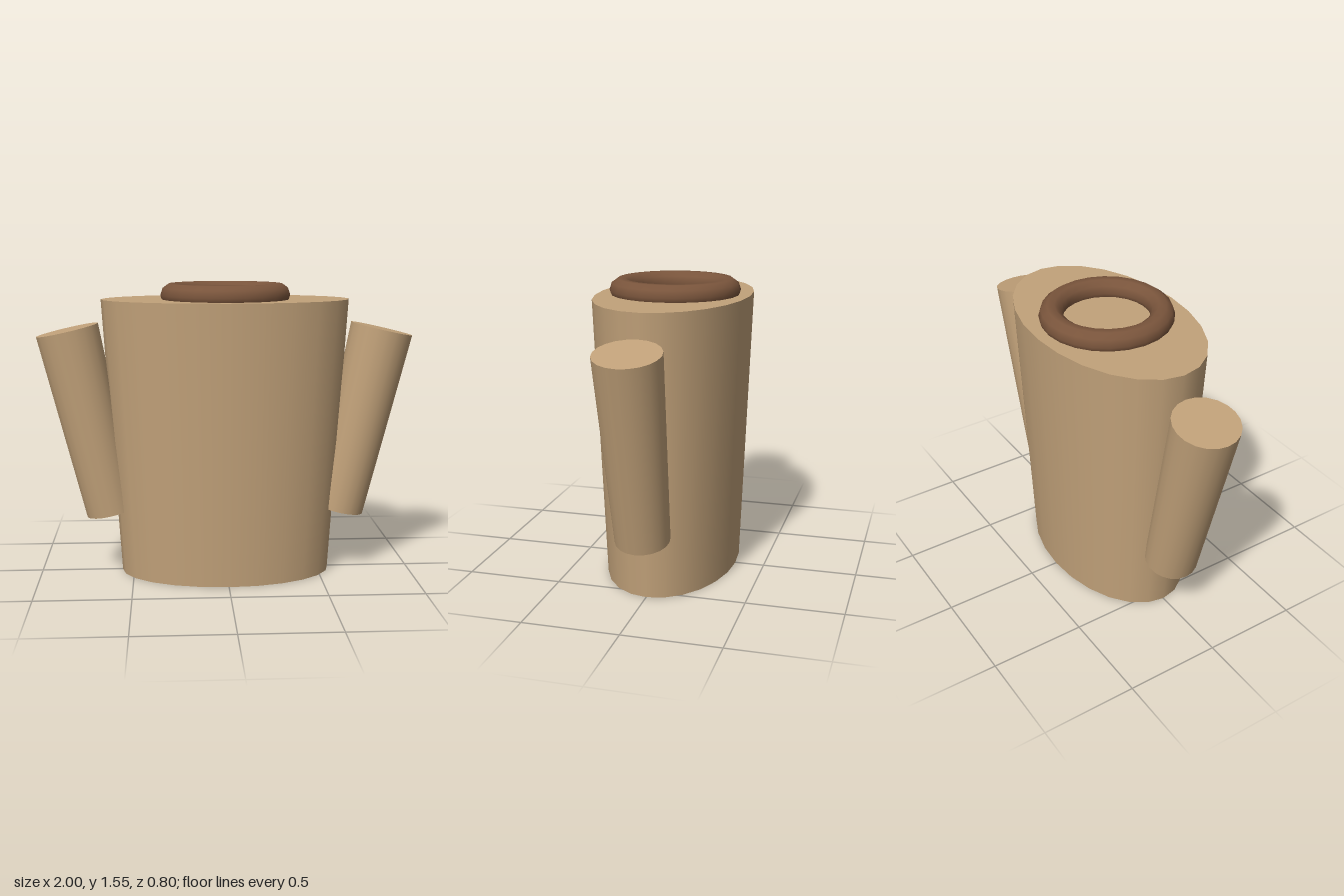
import * as THREE from 'three';

export function createModel() {
  const model = new THREE.Group();
  const cloth = new THREE.MeshStandardMaterial({ color: 0xc2a27a });
  cloth.name = 'tanCloth';
  const trim = new THREE.MeshStandardMaterial({ color: 0x7a553c });
  trim.name = 'brownTrim';

  const add = (name, geometry, material) => {
    const mesh = new THREE.Mesh(geometry, material);
    mesh.name = name;
    model.add(mesh);
    return mesh;
  };

  // Tapered oval torso
  const height = 1.474;
  const torso = add('torso', new THREE.CylinderGeometry(0.656, 0.564, height, 24), cloth);
  torso.scale.z = 0.608;
  torso.position.y = height / 2;

  // Tapered sleeves, leaning outward at the top
  for (const side of [1, -1]) {
    const sleeve = add(side > 0 ? 'leftSleeve' : 'rightSleeve',
      new THREE.CylinderGeometry(0.167, 0.139, 1.005, 20), cloth);
    sleeve.position.set(side * 0.726, 0.824, 0);
    sleeve.rotation.z = -side * 0.22;
  }

  // Rolled collar ring
  const collar = add('collar', new THREE.TorusGeometry(0.28, 0.063, 10, 24), trim);
  collar.rotation.x = Math.PI / 2;
  collar.position.y = 1.495;

  return model;
}
